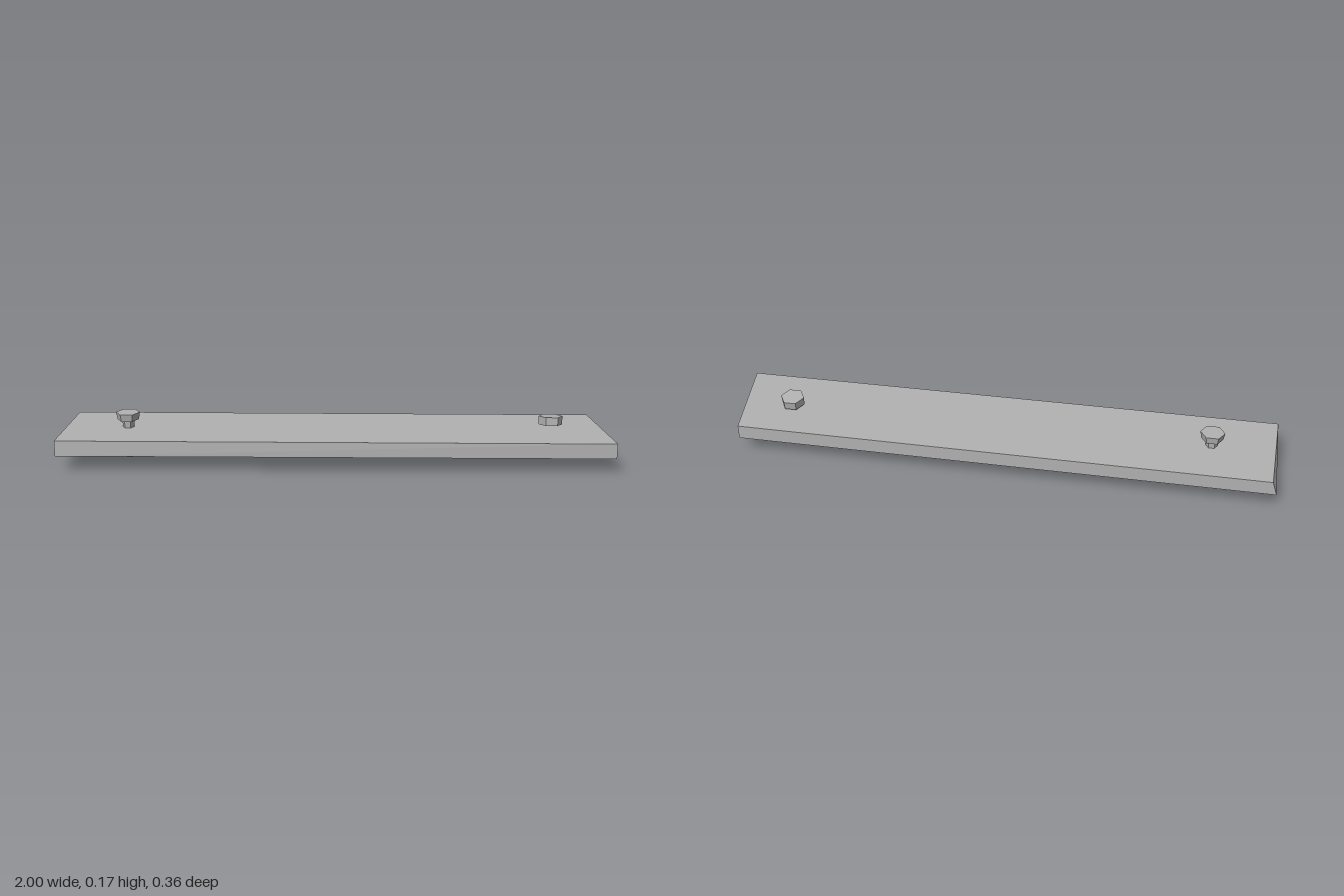
import * as THREE from 'three';

const steel = new THREE.MeshStandardMaterial({ color: 0xb2b2b2, flatShading: true });
steel.name = 'grey';

// Six-sided tapered prism with two corners on the x axis
function hexPrism(name, topRadius, bottomRadius, height) {
  const mesh = new THREE.Mesh(
    new THREE.CylinderGeometry(topRadius, bottomRadius, height, 6, 1, false, Math.PI / 6), steel);
  mesh.name = name;
  return mesh;
}

// Plank: a box whose corners are moved to give the uneven, hand-cut ends
function makePlank() {
  const geometry = new THREE.BoxGeometry(2, 0.056, 0.364);
  const p = geometry.attributes.position;
  for (let i = 0; i < p.count; i++) {
    const right = p.getX(i) > 0, top = p.getY(i) > 0, front = p.getZ(i) > 0;
    let x = right ? 1 : -1;
    if (right && !front) x = 0.95;
    if (!right && !front && top) x = -0.983;
    const z = front ? (right ? 0.175 : (top ? 0.178 : 0.182)) : -0.182;
    const y = top ? (front ? 0.117 : 0.113) : 0.061;
    p.setXYZ(i, x, y, z);
  }
  geometry.computeVertexNormals();
  const plank = new THREE.Mesh(geometry, steel);
  plank.name = 'plank';
  return plank;
}

export function createModel() {
  const model = new THREE.Group();
  model.name = 'boltedPlank';
  model.add(makePlank());

  // Long bolt passing right through the plank
  const bolt = new THREE.Group();
  bolt.name = 'longBolt';
  const head = hexPrism('boltHead', 0.044, 0.039, 0.027);
  head.position.y = 0.1575;
  const shaft = hexPrism('boltShaft', 0.022, 0.0165, 0.146);
  shaft.position.y = 0.073;
  bolt.add(head, shaft);
  bolt.position.set(-0.764, 0, 0.001);
  model.add(bolt);

  // Tilted head at the other end
  const tilted = hexPrism('tiltedBoltHead', 0.044, 0.0425, 0.031);
  tilted.position.set(0.788, 0.1425, -0.02);
  tilted.rotation.x = -0.13;
  model.add(tilted);

  return model;
}
